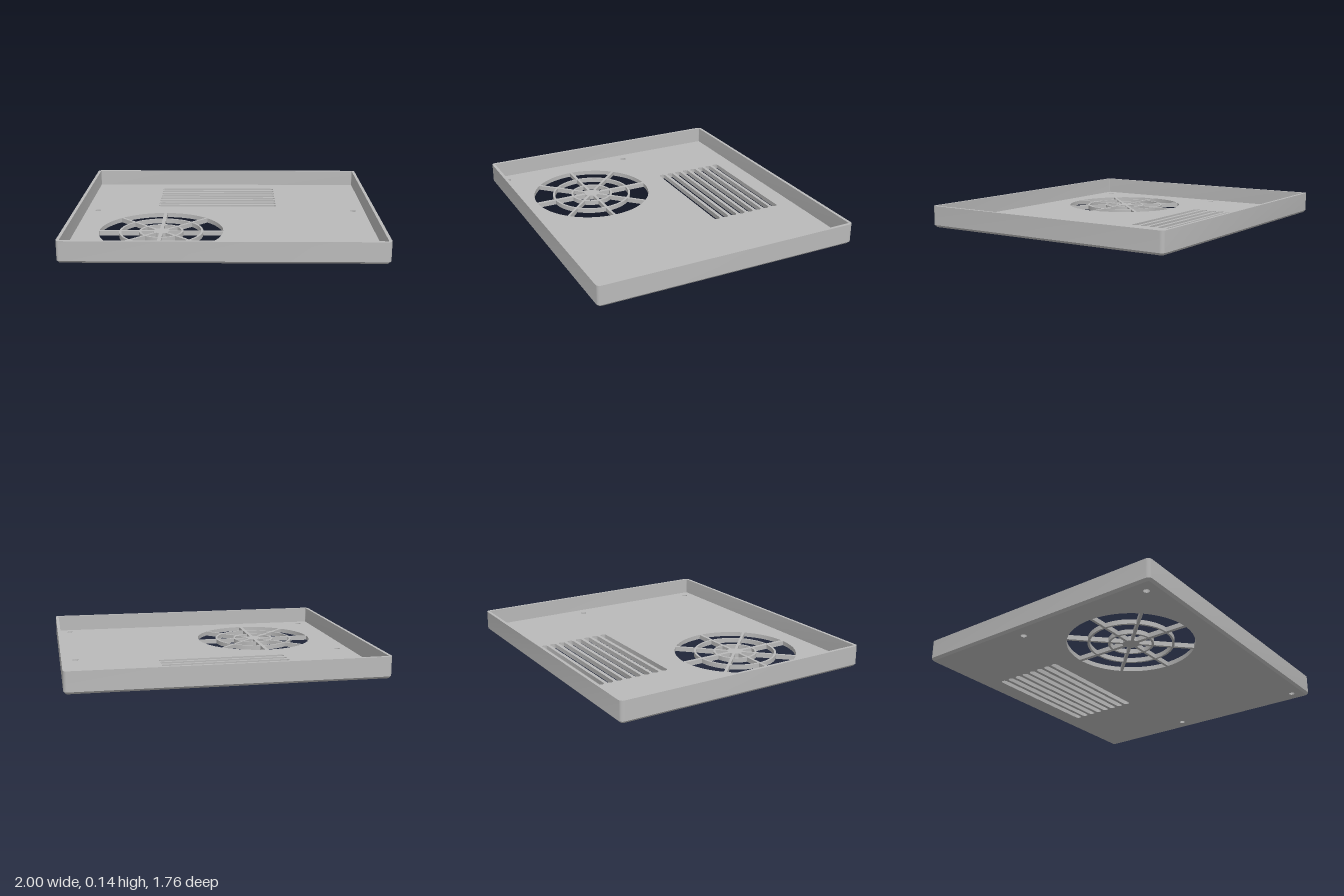
import * as THREE from 'three';
import { toCreasedNormals } from 'three/addons/utils/BufferGeometryUtils.js';

const HALF_X = 1, HALF_Z = 0.88, HEIGHT = 0.14, FLOOR = 0.03, CHAMFER = 0.015, WALL = 0.02;

// Rounded rectangle as [x, z] points, counter-clockwise seen from above
function rectLoop(inset, radius, steps = 6) {
  const points = [];
  const hx = HALF_X - inset - radius, hz = HALF_Z - inset - radius;
  [[1, 1], [-1, 1], [-1, -1], [1, -1]].forEach(([sx, sy], corner) => {
    for (let i = 0; i <= steps; i++) {
      const t = (corner + i / steps) * Math.PI / 2;
      points.push([sx * hx + radius * Math.cos(t), -(sy * hz + radius * Math.sin(t))]);
    }
  });
  return points;
}

// Wall swept around the tray: chamfer, outer side, rim, inner side
function wallGeometry() {
  const sections = [
    [CHAMFER, 0.012, 0],
    [0, 0.027, CHAMFER],
    [0, 0.027, HEIGHT],
    [WALL, 0.003, HEIGHT],
    [WALL, 0.003, FLOOR],
  ].map(([inset, radius, y]) => rectLoop(inset, radius).map(([x, z]) => [x, y, z]));
  const positions = [];
  for (let s = 0; s < sections.length - 1; s++) {
    const low = sections[s], high = sections[s + 1];
    for (let j = 0; j < low.length; j++) {
      const k = (j + 1) % low.length;
      positions.push(...low[j], ...low[k], ...high[k], ...low[j], ...high[k], ...high[j]);
    }
  }
  const geometry = new THREE.BufferGeometry();
  geometry.setAttribute('position', new THREE.Float32BufferAttribute(positions, 3));
  return toCreasedNormals(geometry, 0.5);
}

// Round-ended ventilation slot
function slotHole(x0, x1, z, radius) {
  const path = new THREE.Path();
  path.absarc(x1 - radius, -z, radius, -Math.PI / 2, Math.PI / 2, false);
  path.absarc(x0 + radius, -z, radius, Math.PI / 2, Math.PI * 1.5, false);
  path.closePath();
  return path;
}

function screwHole(x, z) {
  const path = new THREE.Path();
  path.absarc(x, -z, 0.02, 0, Math.PI * 2, false);
  return path;
}

// Fan openings: ring sectors that leave the hub, two rings and eight spokes
function fanHoles(x, z) {
  const holes = [];
  const bands = [[0.053, 0.131], [0.145, 0.261], [0.275, 0.406]];
  const halfSpoke = (i) => (i % 4 === 2 ? 0.012 : 0.009);
  for (const [inner, outer] of bands) {
    for (let i = 0; i < 8; i++) {
      const start = (r) => i * Math.PI / 4 + Math.asin(halfSpoke(i) / r);
      const end = (r) => (i + 1) * Math.PI / 4 - Math.asin(halfSpoke(i + 1) / r);
      const path = new THREE.Path();
      path.absarc(x, -z, outer, start(outer), end(outer), false);
      path.absarc(x, -z, inner, end(inner), start(inner), true);
      path.closePath();
      holes.push(path);
    }
  }
  return holes;
}

function floorGeometry() {
  const outline = rectLoop(CHAMFER, 0.012).map(([x, z]) => new THREE.Vector2(x, -z));
  const shape = new THREE.Shape(outline);
  for (let i = 0; i < 8; i++) shape.holes.push(slotHole(-0.482, 0.362, -0.719 + i * 0.0648, 0.021));
  for (const x of [-0.9, 0.9]) for (const z of [-0.14, 0.79]) shape.holes.push(screwHole(x, z));
  shape.holes.push(...fanHoles(-0.415, 0.328));
  const geometry = new THREE.ExtrudeGeometry(shape, { depth: FLOOR, bevelEnabled: false, curveSegments: 8 });
  return toCreasedNormals(geometry.rotateX(-Math.PI / 2), 0.5);
}

export function createModel() {
  const grey = new THREE.MeshStandardMaterial({ color: 0xbababa });
  grey.name = 'grey plastic';

  const model = new THREE.Group();
  model.name = 'ventedCover';

  const floor = new THREE.Mesh(floorGeometry(), grey);
  floor.name = 'ventedFloor';
  const wall = new THREE.Mesh(wallGeometry(), grey);
  wall.name = 'surroundingWall';
  model.add(floor, wall);
  return model;
}
